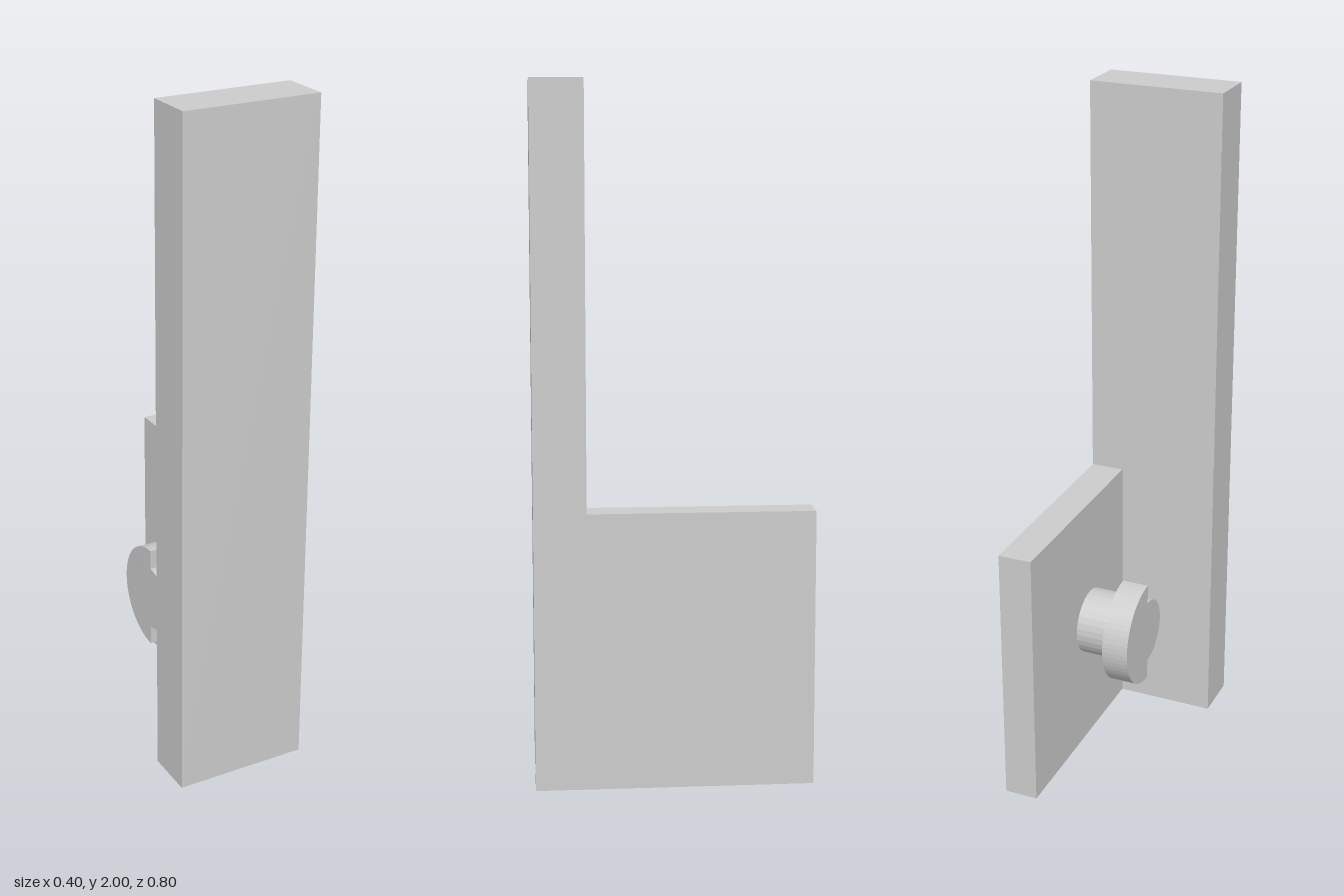
import * as THREE from 'three';

export function createModel() {
  const group = new THREE.Group();
  const grey = new THREE.MeshStandardMaterial({ color: 0xcccccc, flatShading: true });
  grey.name = 'light grey';

  const add = (name, geometry, x, y, z) => {
    const mesh = new THREE.Mesh(geometry, grey);
    mesh.name = name;
    mesh.position.set(x, y, z);
    group.add(mesh);
  };

  // Tall front post and the low plate running back from its left edge
  add('frontPost', new THREE.BoxGeometry(0.4, 2, 0.15), 0, 1, 0.325);
  add('sidePlate', new THREE.BoxGeometry(0.1, 0.8, 0.65), 0.15, 0.4, -0.075);

  // Round pin standing out from the plate's inner face
  const pin = new THREE.CylinderGeometry(0.1, 0.1, 0.19, 32).rotateZ(Math.PI / 2);
  add('pin', pin, 0.005, 0.4, 0);

  // Half-round collar on the rear half of the pin's tip
  const half = new THREE.Shape();
  half.absarc(0, 0, 0.16, -Math.PI / 2, Math.PI / 2, false);
  half.absarc(0, 0, 0.1, Math.PI / 2, -Math.PI / 2, true);
  const collar = new THREE.ExtrudeGeometry(half, { depth: 0.08, bevelEnabled: false, curveSegments: 16 });
  add('pinCollar', collar.rotateY(Math.PI / 2), -0.09, 0.4, 0);

  return group;
}
